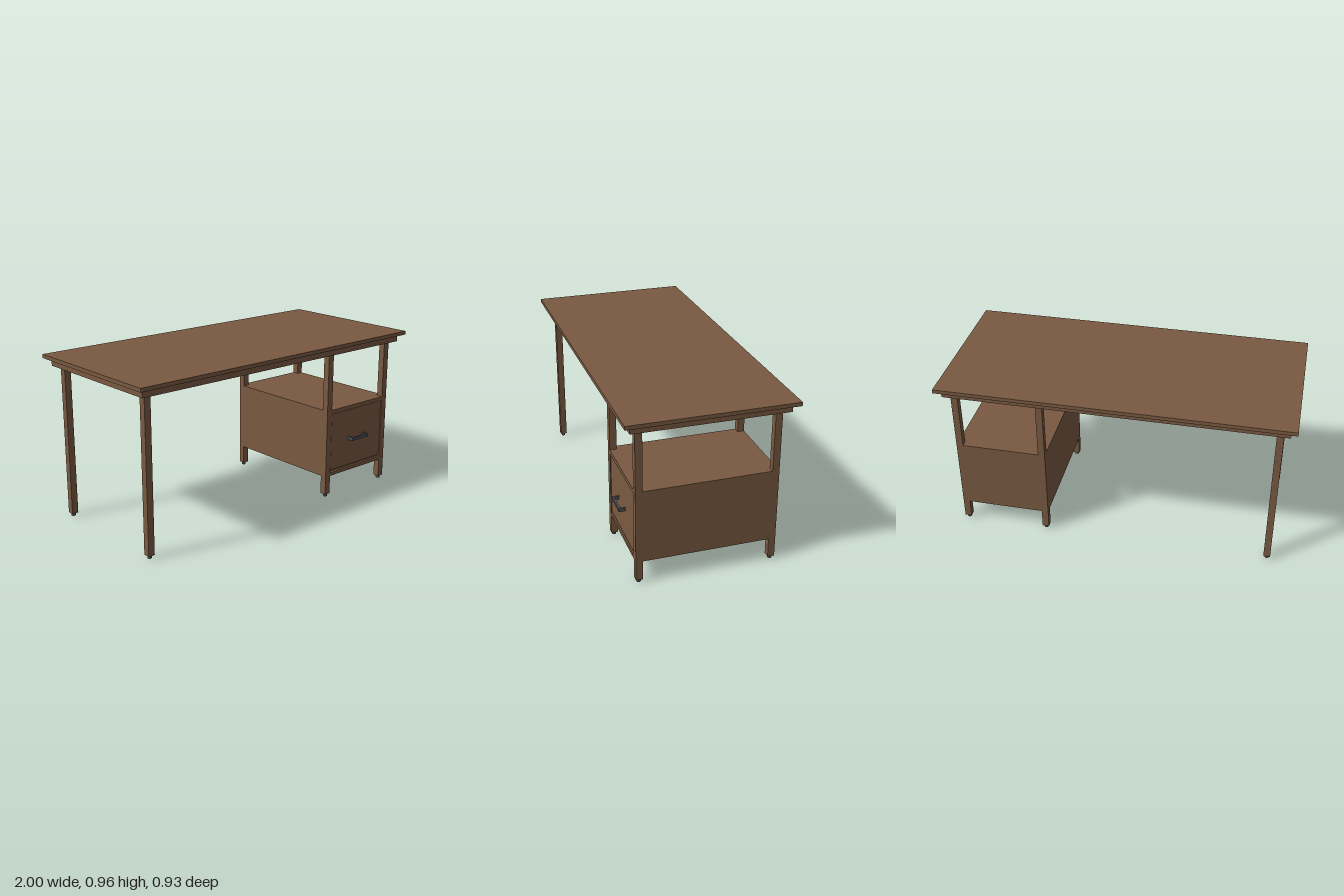
import * as THREE from 'three';

const wood = new THREE.MeshStandardMaterial({ color: 0x7a5a42 });
const metal = new THREE.MeshStandardMaterial({ color: 0x4c4f52 });

// Box given by its lower and upper limits on each axis
function box(name, [x0, x1], [y0, y1], [z0, z1], material = wood) {
  const mesh = new THREE.Mesh(new THREE.BoxGeometry(x1 - x0, y1 - y0, z1 - z0), material);
  mesh.position.set((x0 + x1) / 2, (y0 + y1) / 2, (z0 + z1) / 2);
  mesh.name = name;
  return mesh;
}

const LEG = 0.039;               // leg thickness
const LEG_X = [-0.91, 0.419, 0.909];
const LEG_Z = 0.376;
const H = LEG / 2;
const APRON_Y = 0.9;

// Square leg with a small round foot
function createLeg(x, z) {
  const leg = new THREE.Group();
  leg.name = 'leg';
  leg.add(box('legPost', [x - H, x + H], [0.018, APRON_Y], [z - H, z + H]));
  const foot = new THREE.Mesh(new THREE.CylinderGeometry(0.012, 0.012, 0.018, 16), metal);
  foot.position.set(x, 0.009, z);
  foot.name = 'foot';
  leg.add(foot);
  return leg;
}

// Horizontal board notched around the four cabinet legs
function createNotchedBoard(name, y0, y1) {
  const w = (LEG_X[2] - LEG_X[1]) / 2 + H, d = LEG_Z + H;
  const a = w - LEG, b = d - LEG;
  const outline = [[a, -d], [a, -b], [w, -b], [w, b], [a, b], [a, d],
    [-a, d], [-a, b], [-w, b], [-w, -b], [-a, -b], [-a, -d]];
  const shape = new THREE.Shape(outline.map(([x, z]) => new THREE.Vector2(x, z)));
  const geometry = new THREE.ExtrudeGeometry(shape, { depth: y1 - y0, bevelEnabled: false });
  geometry.rotateX(-Math.PI / 2);
  const board = new THREE.Mesh(geometry, wood);
  board.position.set((LEG_X[1] + LEG_X[2]) / 2, y0, 0);
  board.name = name;
  return board;
}

// Bar handle standing on two posts
function createHandle() {
  const handle = new THREE.Group();
  handle.name = 'drawerHandle';
  const y = [0.331, 0.35];
  handle.add(box('handleBar', [0.592, 0.732], y, [0.418, 0.43], metal));
  for (const x of [0.592, 0.72]) handle.add(box('handlePost', [x, x + 0.012], y, [0.388, 0.418], metal));
  return handle;
}

function createCabinet() {
  const cabinet = new THREE.Group();
  cabinet.name = 'cabinet';
  const left = LEG_X[1] + H, right = LEG_X[2] - H, inner = LEG_Z - H;
  cabinet.add(createNotchedBoard('cabinetTop', 0.526, 0.55));
  cabinet.add(createNotchedBoard('cabinetBottom', 0.131, 0.152));
  // Side panels, flush with the outside of the legs
  for (const x of [LEG_X[1] - H, right]) {
    cabinet.add(box('sidePanel', [x, x + LEG], [0.152, 0.526], [-inner, inner]));
  }
  cabinet.add(box('backPanel', [left, right], [0.152, 0.526], [-LEG_Z - H, -inner]));
  // Drawer body, with the front standing a little proud of it
  cabinet.add(box('drawerBody', [left, right], [0.152, 0.526], [-inner, 0.38]));
  cabinet.add(box('drawerFront', [left + 0.005, right - 0.005], [0.165, 0.523], [0.38, 0.392]));
  cabinet.add(createHandle());
  return cabinet;
}

export function createModel() {
  const desk = new THREE.Group();
  desk.name = 'desk';
  desk.add(box('tableTop', [-1, 1], [0.943, 0.965], [-0.466, 0.466]));
  desk.add(box('apron', [-0.965, 0.965], [APRON_Y, 0.943], [-0.431, 0.431]));
  for (const x of LEG_X) for (const side of [1, -1]) desk.add(createLeg(x, side * LEG_Z));
  desk.add(createCabinet());
  return desk;
}
